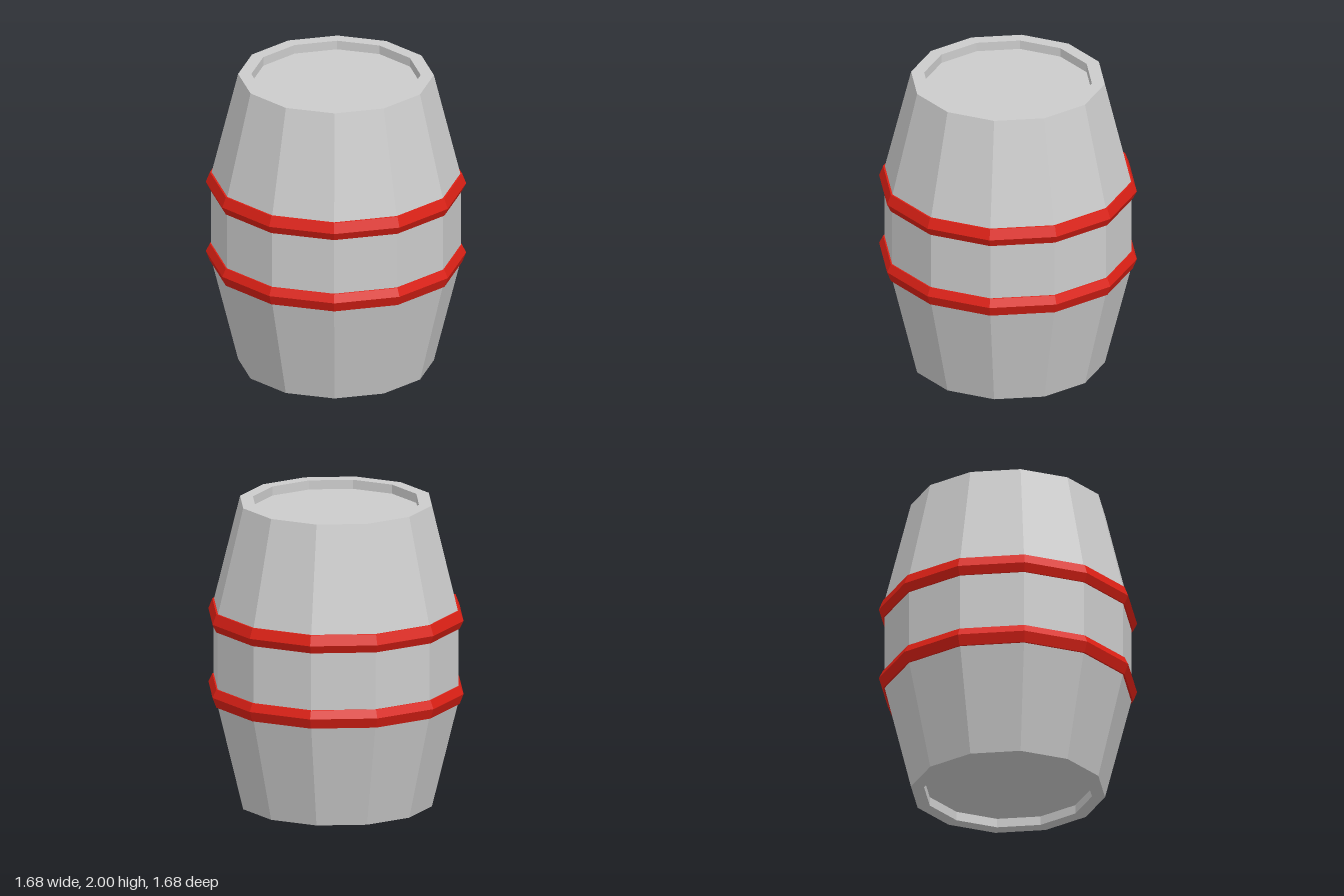
import * as THREE from 'three';

const SIDES = 12;

// Revolve a [radius, height] profile, listed bottom to top, into a faceted mesh
function revolve(name, profile, color) {
  const points = profile.map(([r, y]) => new THREE.Vector2(r, y));
  const mesh = new THREE.Mesh(
    new THREE.LatheGeometry(points, SIDES),
    new THREE.MeshStandardMaterial({ color, flatShading: true })
  );
  mesh.name = name;
  return mesh;
}

export function createModel() {
  const group = new THREE.Group();
  group.name = 'barrel';

  // Barrel body: half profile from the recessed bottom head to the waist, mirrored upward
  const lower = [[0, 0.06], [0.545, 0.06], [0.545, 0], [0.63, 0], [0.803, 0.7]];
  const mirrorUp = (profile) => profile.map(([r, y]) => [r, 2 - y]).reverse();
  group.add(revolve('body', [...lower, ...mirrorUp(lower)], 0xcccccc));

  // Hoops: closed bands with a ridge, the upper one mirrors the lower
  const hoop = [[0.78, 0.69], [0.812, 0.69], [0.838, 0.757], [0.812, 0.81], [0.78, 0.81]];
  group.add(revolve('lowerHoop', hoop, 0xdc2015));
  group.add(revolve('upperHoop', mirrorUp(hoop), 0xdc2015));

  return group;
}
